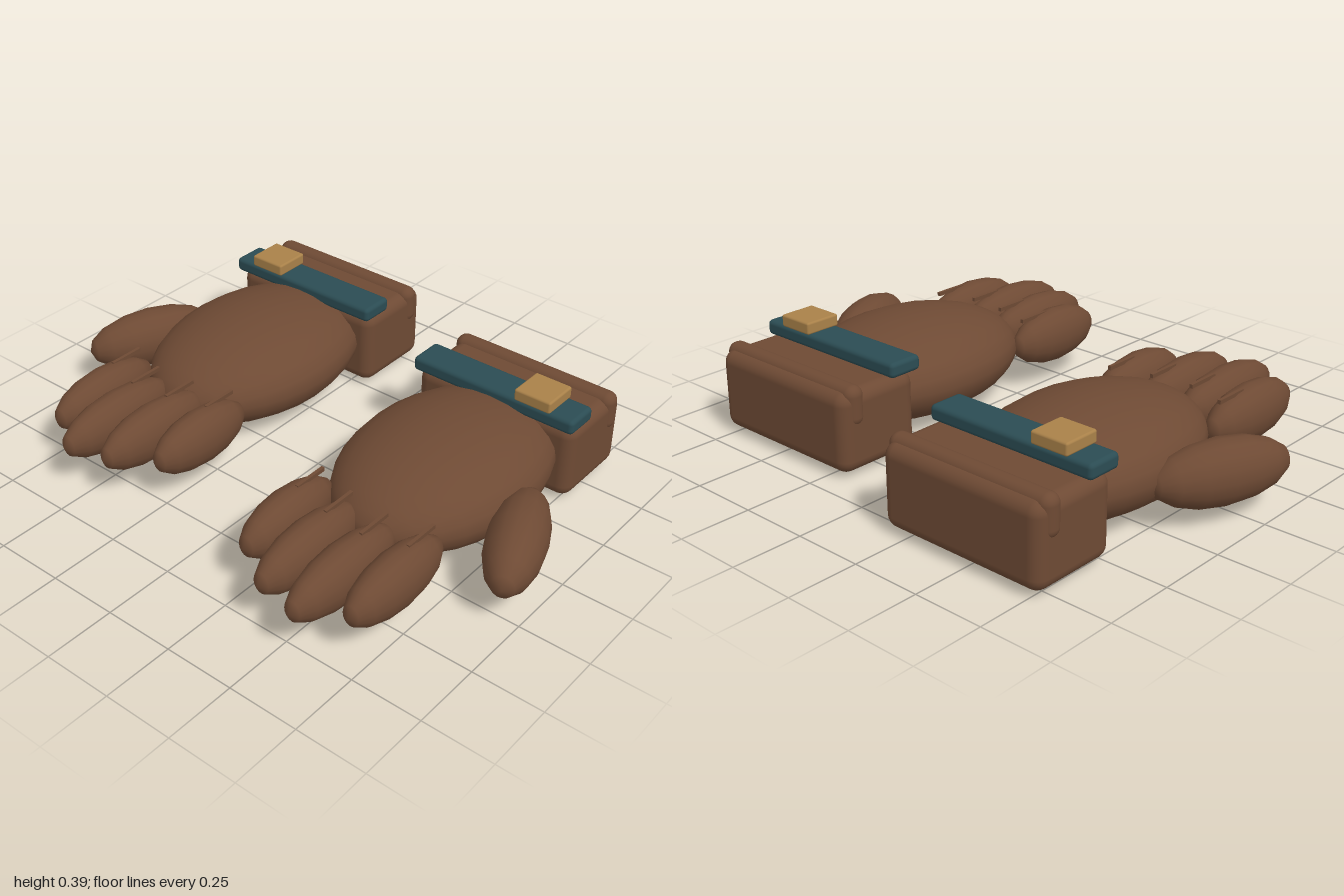
import * as THREE from 'three';
import { RoundedBoxGeometry } from 'three/addons/geometries/RoundedBoxGeometry.js';

const material = (name, color) => {
  const m = new THREE.MeshStandardMaterial({ color });
  m.name = name;
  return m;
};

export function createModel() {
  const leather = material('brown leather', 0x6e4a34);
  const teal = material('teal strap', 0x2b4c53);
  const brass = material('brass', 0xa98149);

  // Low-poly egg with its poles along z, so that the tips are slightly pointed
  const egg = (rx, ry, rz, sides, rings) => {
    const g = new THREE.SphereGeometry(1, sides, rings);
    g.rotateX(Math.PI / 2);
    g.scale(rx, ry, rz);
    return g;
  };

  // side = 1 for the left glove, -1 for the right one
  function createGlove(side) {
    const glove = new THREE.Group();
    const add = (name, geometry, mat, x, y, z) => {
      const mesh = new THREE.Mesh(geometry, mat);
      mesh.name = name;
      mesh.position.set(side * x, y, z);
      glove.add(mesh);
      return mesh;
    };

    add('palm', egg(0.322, 0.175, 0.46, 24, 16), leather, 0.478, 0.18, -0.08);

    // Fingers: x, centre z, half length
    const fingers = [
      [0.257, 0.46, 0.21],
      [0.405, 0.53, 0.24],
      [0.555, 0.555, 0.25],
      [0.698, 0.485, 0.225],
    ];
    fingers.forEach(([x, z, length], i) => {
      add('finger' + (i + 1), egg(0.078, 0.102, length, 16, 8), leather, x, 0.182, z);
      // Thin seam over each knuckle
      add('knuckleSeam' + (i + 1), new THREE.BoxGeometry(0.012, 0.014, 0.13),
        leather, x + 0.005, 0.275, z - length + 0.105);
    });

    // Thumb, splayed outwards
    const thumb = add('thumb', egg(0.1, 0.11, 0.248, 16, 8), leather, 0.868, 0.165, 0.08);
    thumb.rotation.y = side * 0.39;

    // Cuff with a rolled edge
    add('cuff', new RoundedBoxGeometry(0.63, 0.285, 0.325, 3, 0.045), leather, 0.477, 0.163, -0.51);
    add('cuffRoll', new RoundedBoxGeometry(0.645, 0.142, 0.072, 4, 0.034), leather, 0.478, 0.252, -0.607);

    // Wrist strap and buckle
    add('strap', new RoundedBoxGeometry(0.64, 0.054, 0.13, 2, 0.016), teal, 0.477, 0.328, -0.392);
    add('buckle', new RoundedBoxGeometry(0.14, 0.044, 0.136, 2, 0.008), brass, 0.64, 0.374, -0.392);
    return glove;
  }

  const model = new THREE.Group();
  const left = createGlove(1);
  left.name = 'leftGlove';
  const right = createGlove(-1);
  right.name = 'rightGlove';
  right.position.z = -0.14;
  model.add(left, right);
  return model;
}
